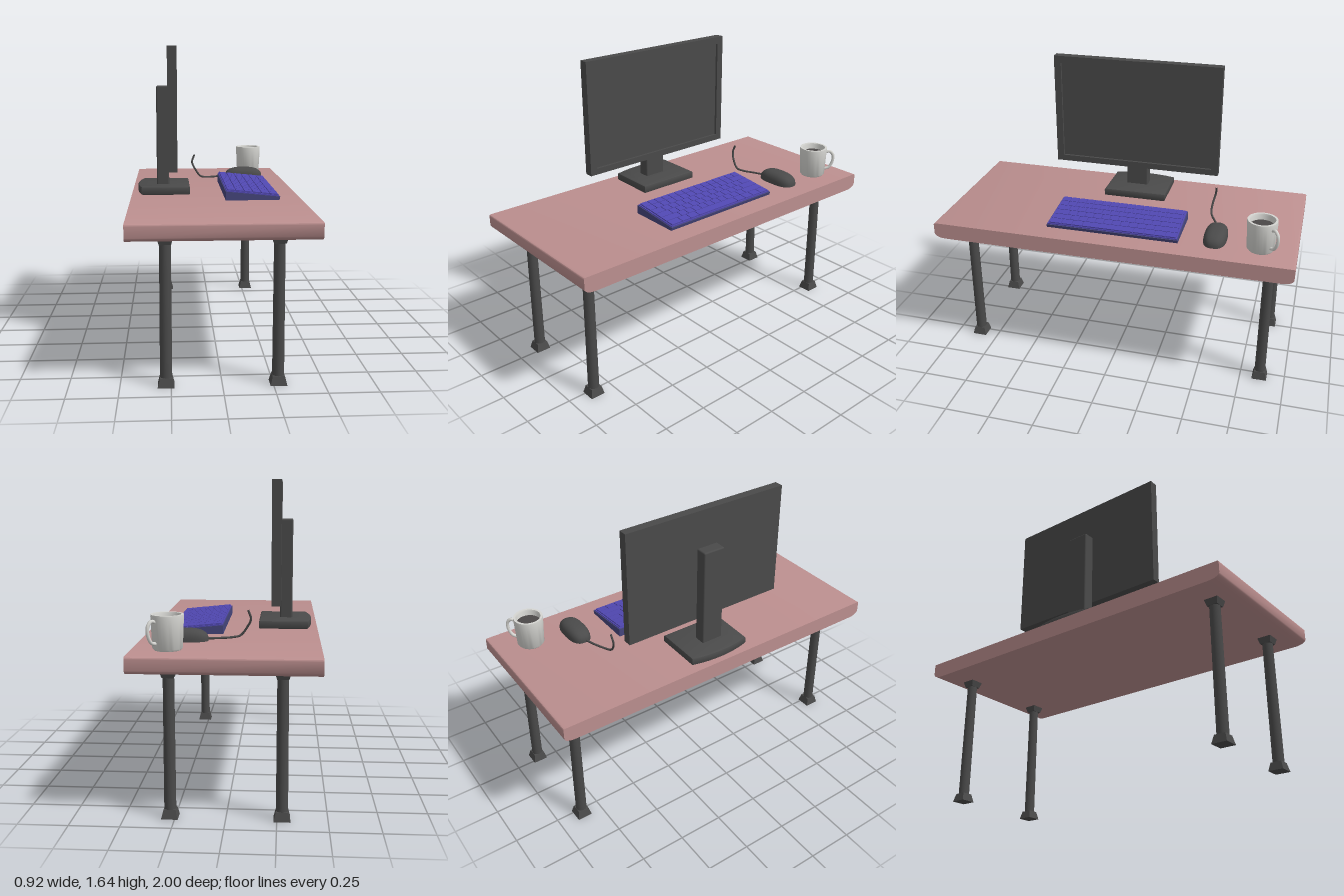
import * as THREE from 'three';
import { RoundedBoxGeometry } from 'three/addons/geometries/RoundedBoxGeometry.js';
import { toCreasedNormals } from 'three/addons/utils/BufferGeometryUtils.js';

const mat = (name, color, side = THREE.FrontSide) => {
  const m = new THREE.MeshStandardMaterial({ color, side });
  m.name = name;
  return m;
};

export function createModel() {
  const wood = mat('rosy wood', 0xbc8f8f);
  const dark = mat('charcoal', 0x4a4a4a);
  const keyBlue = mat('key blue', 0x5148b2);
  const caseBlue = mat('case blue', 0x46467c);
  const china = mat('china white', 0xd6d6d2);
  const coffeeMat = mat('coffee', 0x4c4848);

  const root = new THREE.Group();
  root.name = 'desk';
  const add = (name, geo, material, x = 0, y = 0, z = 0, parent = root) => {
    const m = new THREE.Mesh(geo, material);
    m.name = name;
    m.position.set(x, y, z);
    parent.add(m);
    return m;
  };
  const group = (name) => {
    const g = new THREE.Group();
    g.name = name;
    root.add(g);
    return g;
  };
  const shapeOf = (pts) => new THREE.Shape(pts.map(([x, y]) => new THREE.Vector2(x, y)));
  const tube = (pts, r) => new THREE.TubeGeometry(
    new THREE.CatmullRomCurve3(pts.map((p) => new THREE.Vector3(...p))), 32, r, 8);

  // Tabletop: end profile with softened lower corners, run across the width
  const profile = new THREE.Shape();
  profile.moveTo(-0.99, 0.83);
  profile.quadraticCurveTo(-1, 0.83, -1, 0.82);
  profile.lineTo(-1, 0.765);
  profile.quadraticCurveTo(-0.99, 0.742, -0.94, 0.74);
  profile.lineTo(0.94, 0.74);
  profile.quadraticCurveTo(0.99, 0.742, 1, 0.765);
  profile.lineTo(1, 0.82);
  profile.quadraticCurveTo(1, 0.83, 0.99, 0.83);
  profile.closePath();
  const topGeo = new THREE.ExtrudeGeometry(profile, { depth: 0.924, bevelEnabled: false, curveSegments: 6 });
  topGeo.translate(0, 0, -0.462).rotateY(Math.PI / 2);
  add('tabletop', toCreasedNormals(topGeo, 0.6), wood);

  // Legs with flared square feet and collars
  const square = (top, bottom, h) => new THREE.CylinderGeometry(top * Math.SQRT2, bottom * Math.SQRT2, h, 4)
    .rotateY(Math.PI / 4).toNonIndexed();
  const footGeo = square(0.03, 0.041, 0.045);
  const collarGeo = square(0.039, 0.029, 0.035);
  footGeo.computeVertexNormals();
  collarGeo.computeVertexNormals();
  const shaftGeo = new THREE.CylinderGeometry(0.028, 0.03, 0.7, 12);
  for (const x of [-0.275, 0.275]) for (const z of [-0.86, 0.86]) {
    const leg = group('leg');
    leg.position.set(x, 0, z);
    add('shaft', shaftGeo, dark, 0, 0.38, 0, leg);
    add('foot', footGeo, dark, 0, 0.0225, 0, leg);
    add('collar', collarGeo, dark, 0, 0.7245, 0, leg);
  }

  // Monitor: panel, raised bezel, column and base
  const monitor = group('monitor');
  add('panel', new THREE.BoxGeometry(0.036, 0.645, 0.98), dark, -0.241, 1.3225, 0, monitor);
  const bezel = shapeOf([[-0.49, 1], [0.49, 1], [0.49, 1.645], [-0.49, 1.645]]);
  bezel.holes.push(shapeOf([[-0.45, 1.035], [-0.45, 1.605], [0.45, 1.605], [0.45, 1.035]]));
  const bezelGeo = new THREE.ExtrudeGeometry(bezel, { depth: 0.015, bevelEnabled: false });
  add('bezel', bezelGeo.rotateY(Math.PI / 2), dark, -0.224, 0, 0, monitor);
  add('column', new RoundedBoxGeometry(0.07, 0.57, 0.128, 2, 0.008), dark, -0.287, 1.148, 0.002, monitor);
  const base = new THREE.Shape();
  base.moveTo(-0.145, -0.165);
  base.lineTo(-0.145, 0.185);
  base.lineTo(-0.4, 0.185);
  base.quadraticCurveTo(-0.445, 0.01, -0.4, -0.16);
  base.closePath();
  const baseGeo = new THREE.ExtrudeGeometry(base, {
    depth: 0.026, bevelThickness: 0.01, bevelSize: 0.009, bevelSegments: 2, curveSegments: 8,
  }).rotateX(-Math.PI / 2);
  add('base', toCreasedNormals(baseGeo, 0.6), dark, 0, 0.84, 0, monitor);

  // Keyboard: wedge case with a sloping field of keys
  const keyboard = group('keyboard');
  const wedge = shapeOf([[0.05, 0.83], [0.34, 0.83], [0.345, 0.848], [0.05, 0.878]]);
  add('case', new THREE.ExtrudeGeometry(wedge, { depth: 0.74, bevelEnabled: false }), caseBlue, 0, 0, -0.37, keyboard);
  const keys = new THREE.Group();
  keys.name = 'keys';
  keys.position.set(0.1965, 0.8655, 0);
  keys.rotation.z = -Math.atan2(0.03, 0.295);
  keyboard.add(keys);
  add('key plate', new THREE.BoxGeometry(0.285, 0.006, 0.73), keyBlue, 0, 0, 0, keys);
  const pitch = 0.0465;
  const rows = [
    Array(15).fill(1), [...Array(13).fill(1), 2], [1.5, ...Array(12).fill(1), 1.5],
    [1.75, ...Array(11).fill(1), 2.25], [2.25, ...Array(10).fill(1), 2.75], [1.5, 1.25, 1.25, 6, 1.25, 1.25, 1.25, 1.25],
  ];
  rows.forEach((row, i) => {
    const unit = 0.72 / row.reduce((a, b) => a + b);
    let z = 0.36;
    for (const w of row) {
      add('key', new THREE.BoxGeometry(pitch - 0.004, 0.01, w * unit - 0.004), keyBlue,
        (i - 2.5) * pitch, 0.005, z - (w * unit) / 2, keys);
      z -= w * unit;
    }
  });

  // Mouse: squared-off dome
  const mouseGeo = new THREE.SphereGeometry(1, 32, 12, 0, Math.PI * 2, 0, Math.PI / 2);
  const p = mouseGeo.attributes.position;
  const soft = (v, e) => Math.sign(v) * Math.abs(v) ** e;
  for (let i = 0; i < p.count; i++) {
    p.setXYZ(i, 0.12 * soft(p.getX(i), 0.75), 0.064 * soft(Math.max(0, p.getY(i)), 0.75), 0.063 * soft(p.getZ(i), 0.75));
  }
  mouseGeo.computeVertexNormals();
  add('mouse', mouseGeo, dark, 0.23, 0.83, -0.558);
  add('mouseCable', tube([[0.13, 0.84, -0.553], [0.06, 0.838, -0.53], [-0.01, 0.838, -0.5], [-0.05, 0.846, -0.487],
    [-0.085, 0.89, -0.49], [-0.105, 0.935, -0.5], [-0.09, 0.982, -0.505]], 0.006), dark);

  // Mug with handle and coffee
  const mug = group('mug');
  mug.position.set(0.285, 0.83, -0.805);
  const cup = [[0, 0], [0.066, 0], [0.074, 0.01], [0.081, 0.165], [0.08, 0.174], [0.068, 0.174], [0.065, 0.165], [0.062, 0.03], [0, 0.03]];
  const cupGeo = new THREE.LatheGeometry(cup.map(([x, y]) => new THREE.Vector2(x, y)), 32);
  add('cup', toCreasedNormals(cupGeo, 0.7), china, 0, 0, 0, mug);
  add('coffee', new THREE.CircleGeometry(0.066, 32).rotateX(-Math.PI / 2), coffeeMat, 0, 0.14, 0, mug);
  const handle = add('handle', tube([[0.072, 0.14, 0], [0.1, 0.147, 0], [0.12, 0.125, 0], [0.12, 0.085, 0],
    [0.1, 0.045, 0], [0.07, 0.035, 0]], 0.009), china, 0, 0, 0, mug);
  handle.rotation.y = 0.84;

  return root;
}
